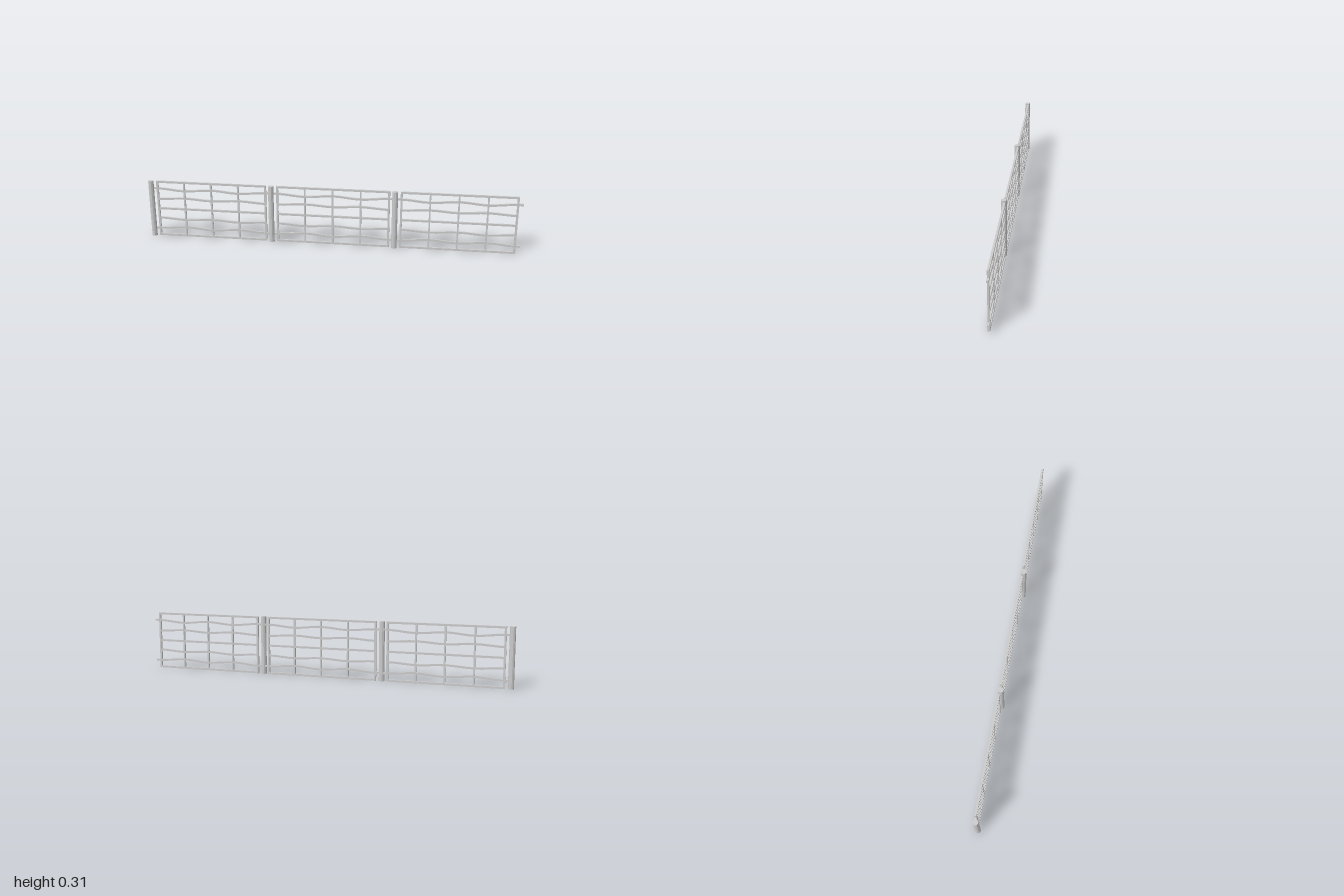
import * as THREE from 'three';

const HEIGHT = 0.315, MID = HEIGHT / 2;
const BAR = 0.0105, BAR_Z = -0.0063;
const SPACING = 0.6635, FIRST_POST = -0.985;
const INSET = 0.0335, PITCH = 0.1495, WIDTH = PITCH * 4;

const material = new THREE.MeshStandardMaterial({ color: 0xcccccc, flatShading: true });

function addMesh(parent, geometry, name, x = 0, y = 0, z = 0) {
  const mesh = new THREE.Mesh(geometry, material);
  mesh.name = name;
  mesh.position.set(x, y, z);
  parent.add(mesh);
  return mesh;
}

// Horizontal bar whose height follows a gentle wave, with straight ends of length `tail`
function wavyBar(ends, swing, tail) {
  const line = [];
  if (tail > 0) line.push([-tail, ends]);
  for (let i = 0; i <= 16; i++) {
    const t = i / 4;
    line.push([t * PITCH, ends + swing * (1 - Math.cos(t * Math.PI)) / 2]);
  }
  if (tail > 0) line.push([WIDTH + tail, ends]);
  const top = line.map(([x, y]) => new THREE.Vector2(x, y + BAR / 2));
  const bottom = line.map(([x, y]) => new THREE.Vector2(x, y - BAR / 2)).reverse();
  const geometry = new THREE.ExtrudeGeometry(new THREE.Shape([...bottom, ...top]), { depth: BAR, bevelEnabled: false });
  return geometry.translate(0, 0, -BAR / 2);
}

function createPanel() {
  const panel = new THREE.Group();
  panel.name = 'fencePanel';

  // Uprights
  for (let i = 0; i <= 4; i++) {
    const edge = i === 0 || i === 4;
    const w = edge ? BAR : 0.0085;
    addMesh(panel, new THREE.BoxGeometry(w, HEIGHT, BAR), edge ? 'endUpright' : 'innerUpright', i * PITCH, MID, 0);
  }

  // Straight bars: bottom, middle, top
  for (const [name, y] of [['bottomBar', BAR / 2], ['middleBar', MID], ['topBar', HEIGHT - BAR / 2]]) {
    addMesh(panel, new THREE.BoxGeometry(WIDTH, BAR, BAR), name, WIDTH / 2, y, 0);
  }

  // Wavy bars, mirrored about the middle; the outer pair reaches out to the posts
  for (const side of [1, -1]) {
    const where = side > 0 ? 'upper' : 'lower';
    addMesh(panel, wavyBar(MID + side * 0.115, -side * 0.011, 0.0275), where + 'MountingRail');
    addMesh(panel, wavyBar(MID + side * 0.054, side * 0.008, 0), where + 'WavyBar');
  }
  return panel;
}

export function createModel() {
  const fence = new THREE.Group();
  fence.name = 'fence';
  for (let i = 0; i < 3; i++) {
    const x = FIRST_POST + i * SPACING;

    // Ten-sided post
    const post = addMesh(fence, new THREE.CylinderGeometry(0.015, 0.015, HEIGHT, 10), 'post', x, MID, 0);
    post.rotation.y = Math.PI / 2;

    const panel = createPanel();
    panel.position.set(x + INSET, 0, BAR_Z);
    fence.add(panel);
  }
  return fence;
}
